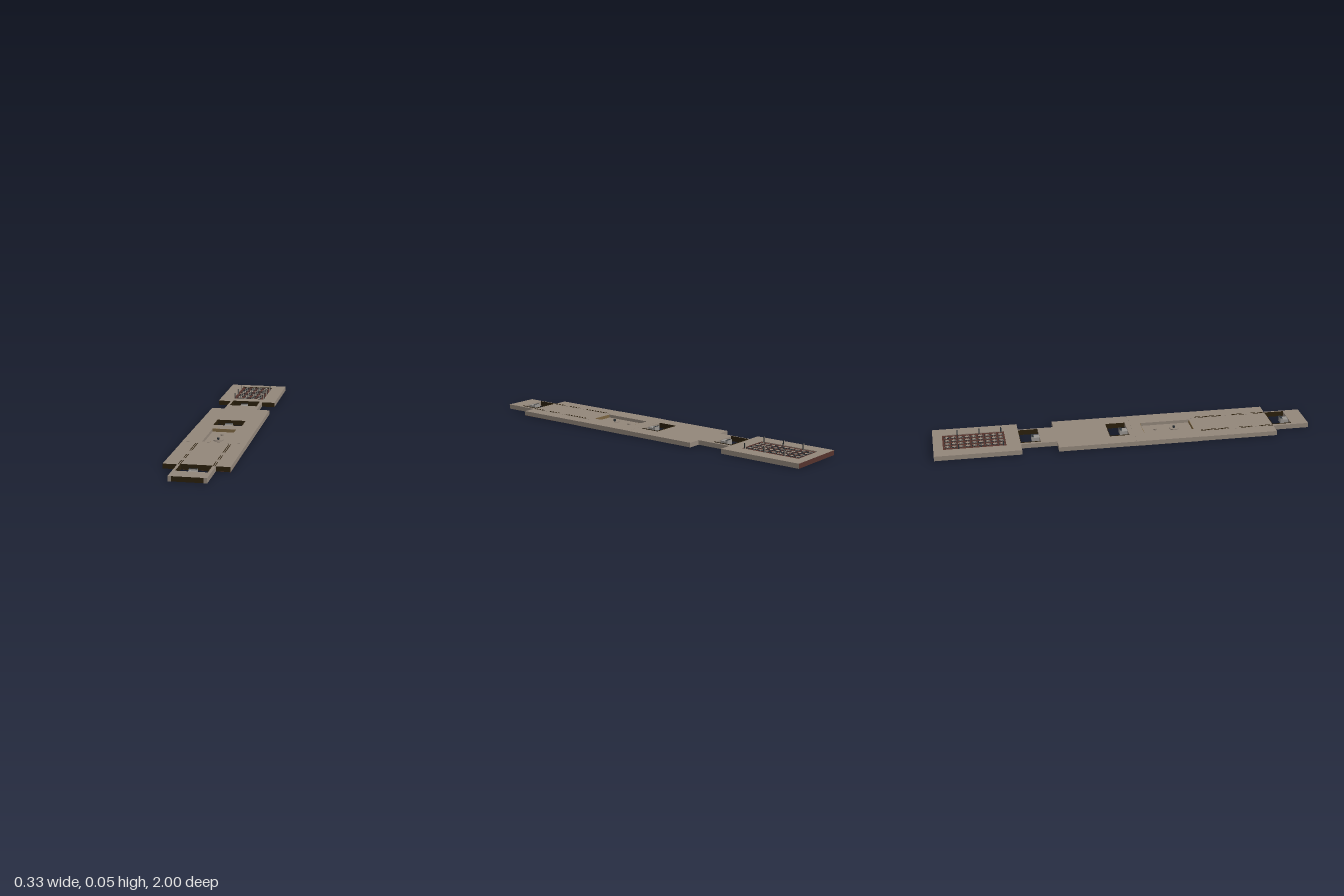
import * as THREE from 'three';

export function createModel() {
  const model = new THREE.Group();
  const mat = (name, color) => {
    const m = new THREE.MeshStandardMaterial({ color });
    m.name = name;
    return m;
  };
  const taupe = mat('taupe', 0x92867a);
  const brown = mat('darkBrown', 0x2a1f0c);
  const underBrown = mat('undersideBrown', 0x533f25);
  const olive = mat('oliveBrown', 0x7a6440);
  const red = mat('darkRed', 0x55332c);
  const grey = mat('grey', 0x96938f);
  const slate = mat('darkSlate', 0x2c3236);

  // Box given by its limits; materials may be an array in the order +x -x +y -y +z -z
  function box(name, x0, x1, y0, y1, z0, z1, material) {
    const mesh = new THREE.Mesh(new THREE.BoxGeometry(x1 - x0, y1 - y0, z1 - z0), material);
    mesh.position.set((x0 + x1) / 2, (y0 + y1) / 2, (z0 + z1) / 2);
    mesh.name = name;
    model.add(mesh);
  }
  function disc(name, r, y0, y1, x, z, material) {
    const mesh = new THREE.Mesh(new THREE.CylinderGeometry(r, r, y1 - y0, 20), material);
    mesh.position.set(x, (y0 + y1) / 2, z);
    mesh.name = name;
    model.add(mesh);
  }

  const W = 0.163, R = 0.092, I = 0.076, H = 0.025, M = 0.0257, B = 0.001;
  const deckMats = [taupe, taupe, taupe, underBrown, brown, taupe];
  const plateMats = [taupe, taupe, taupe, red, brown, red];
  const endMats = [taupe, taupe, taupe, grey, brown, taupe];

  // Rear plate: frame around a sunken panel
  const px0 = -0.09, px1 = 0.088, pz0 = -0.95, pz1 = -0.625;
  box('rearPlateBack', -W, W, 0, H, -1, pz0, plateMats);
  box('rearPlateFront', -W, W, 0, H, pz1, -0.55, plateMats);
  box('rearPlateRight', -W, px0, 0, H, pz0, pz1, plateMats);
  box('rearPlateLeft', px1, W, 0, H, pz0, pz1, plateMats);
  box('rearPanel', px0, px1, 0, 0.021, pz0, pz1, red);

  // Six-pointed studs on the panel, pale on top with dark sides
  const star = new THREE.Shape();
  for (let i = 0; i < 12; i++) {
    const a = (i * Math.PI) / 6, r = i % 2 ? 0.007 : 0.017;
    if (i) star.lineTo(r * Math.cos(a), r * Math.sin(a));
    else star.moveTo(r, 0);
  }
  const starGeo = new THREE.ExtrudeGeometry(star, { depth: 0.004, bevelEnabled: false });
  starGeo.rotateX(-Math.PI / 2);
  const studs = new THREE.Group();
  studs.name = 'studs';
  model.add(studs);
  for (let row = 0; row < 9; row++) {
    for (let col = 0; col < 4; col++) {
      const s = new THREE.Mesh(starGeo, [taupe, slate]);
      s.name = 'stud';
      s.position.set(-0.057 + col * 0.0375, 0.0208, -0.927 + row * 0.035);
      studs.add(s);
    }
  }

  // Thin posts beside the panel
  const postMats = [slate, slate, taupe, taupe, taupe, taupe];
  for (const side of [-1, 1]) {
    for (const z of [-0.87, -0.755, -0.64]) {
      box('post', side * 0.086 - 0.003, side * 0.086 + 0.003, 0.02, 0.053, z - 0.003, z + 0.003, postMats);
    }
  }

  // Narrow neck and main deck around the centre window
  box('neck', -R, R, B, H, -0.445, -0.36, endMats);
  box('rearDeck', -W, W, B, H, -0.36, -0.08, deckMats);
  box('centreDeck', -W, W, B, H, 0.025, 0.05, deckMats);
  box('frontDeck', -W, W, B, H, 0.385, 0.805, deckMats);
  for (const side of [-1, 1]) {
    const a = side < 0 ? -W : I, b = side < 0 ? -I : W;
    box('windowSide', a, b, B, H, -0.08, 0.025, deckMats);
  }

  // Slightly raised middle section with a recessed bay
  box('bayBack', -W, W, B, M, 0.05, 0.105, taupe);
  box('bayFront', -W, W, B, M, 0.375, 0.385, taupe);
  box('baySideRight', -W, -0.065, B, M, 0.105, 0.375, taupe);
  box('baySideLeft', 0.06, W, B, M, 0.105, 0.375, taupe);
  box('bayFloor', -0.065, 0.06, B, 0.009, 0.105, 0.375, taupe);
  box('bayBackWall', -0.065, 0.06, 0.009, 0.0252, 0.105, 0.107, olive);
  box('bayFrontWall', -0.065, 0.06, 0.009, 0.0252, 0.373, 0.375, olive);

  // Round turntable with a hub, and a small pin
  disc('turntable', 0.025, 0.009, 0.014, 0, 0.28, taupe);
  disc('turntableHub', 0.006, 0.014, 0.024, 0, 0.28, slate);
  disc('pin', 0.009, 0.009, 0.016, 0, 0.178, taupe);

  // Front end bar
  box('frontBar', -I, I, 0, H, 0.91, 1, endMats);

  const windows = [[-0.55, -0.445], [-0.08, 0.025], [0.805, 0.91]];
  for (const side of [-1, 1]) {
    const rail = (name, a, b, y0, y1, z0, z1, m) =>
      box(name, Math.min(side * a, side * b), Math.max(side * a, side * b), y0, y1, z0, z1, m);
    // Open rails linking the sections
    const railMats = [taupe, taupe, taupe, slate, taupe, taupe];
    rail('rearRail', I, R, B, H, -0.55, -0.445, railMats);
    rail('frontRail', I, R, 0, H, 0.805, 1, railMats);
    rail('lowerRail', I, R, 0, B, -0.55, 0.05, slate);
    // Raised track on the front deck with dark slots
    rail('deckTrack', I, R, H, M, 0.385, 0.805, taupe);
    for (const [z0, z1] of [[0.41, 0.56], [0.62, 0.69], [0.73, 0.805]]) {
      rail('slot', 0.077, 0.081, M, M + 0.0003, z0, z1, brown);
      rail('slot', 0.086, 0.09, M, M + 0.0003, z0, z1, brown);
    }
    // Raised window liners
    for (const [z0, z1] of windows) {
      rail('windowLiner', I - 0.002, I, B, 0.028, z0, z1, brown);
    }
  }

  // Window lips and couplers
  const headMats = [grey, grey, slate, grey, grey, grey];
  for (const [z0, z1] of windows) {
    box('windowLip', -I, I, B, 0.028, z0, z0 + 0.002, brown);
    box('couplerBlock', -0.02, 0.02, 0.001, 0.022, z1 - 0.03, z1, grey);
    box('couplerHead', -0.02, 0.02, 0.001, 0.028, z1 - 0.042, z1 - 0.03, headMats);
  }

  // Underside plates
  box('underPlate', -W, W, 0, B, 0.05, 0.4, [taupe, taupe, grey, grey, grey, grey]);
  box('frontUnderPlate', -R, W, 0, B, 0.58, 0.805, red);
  disc('underHole', 0.008, -0.0003, B, 0, 0.28, slate);
  disc('frontUnderHole', 0.018, -0.0003, B, 0, 0.72, brown);

  return model;
}
